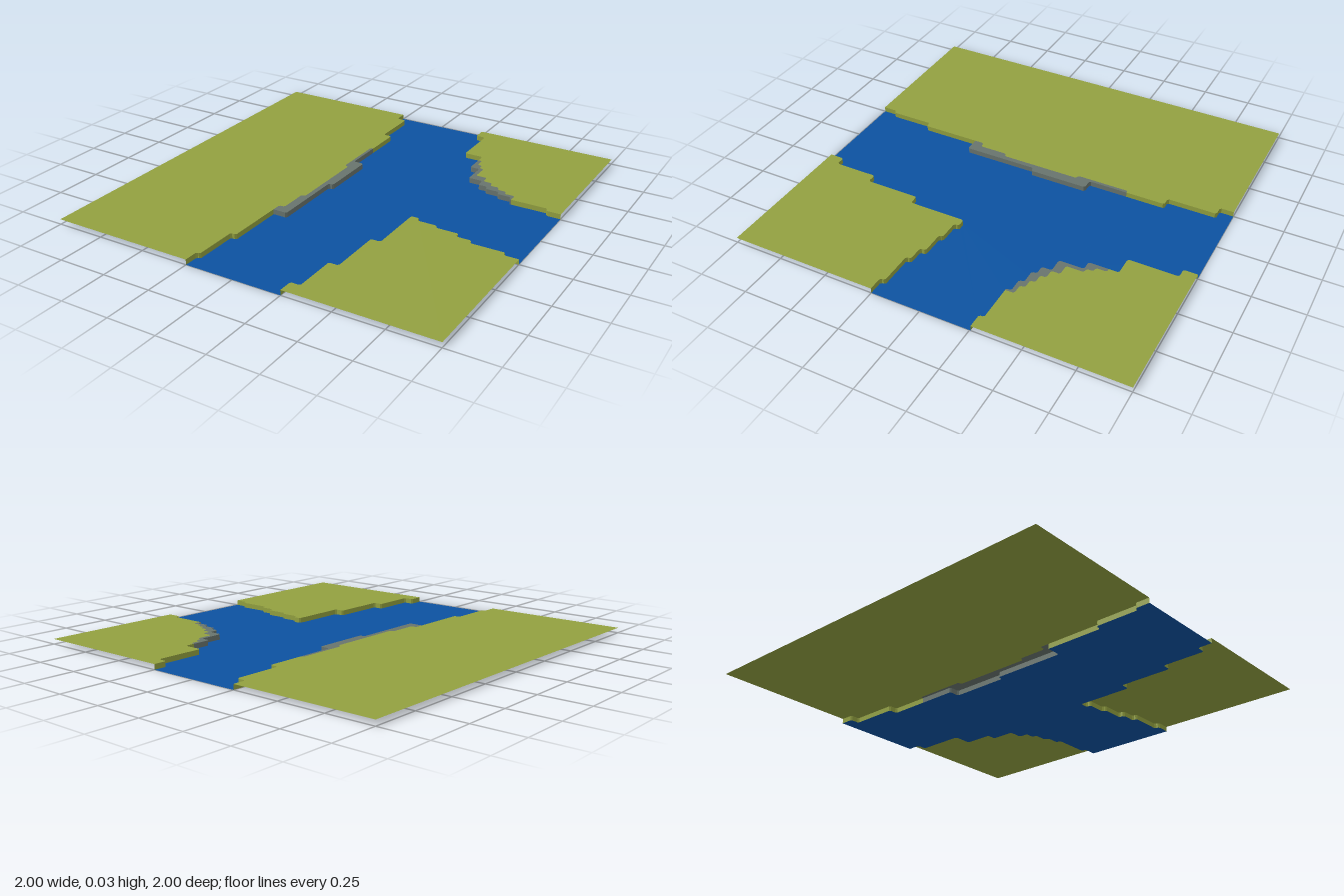
import * as THREE from 'three';

const HEIGHT = 0.026;
const material = (name, color) =>
  Object.assign(new THREE.MeshStandardMaterial({ color, side: THREE.DoubleSide }), { name });

// Stepped path in (x, z): the values alternate, next z, next x, next z...
function stairs(x, z, ...values) {
  const raw = [[x, z]];
  values.forEach((v, i) => {
    if (i % 2) x = v; else z = v;
    const last = raw[raw.length - 1];
    if (last[0] !== x || last[1] !== z) raw.push([x, z]);
  });
  // Clip every inner corner slightly
  const toward = (p, q) => {
    const length = Math.hypot(q[0] - p[0], q[1] - p[1]);
    const t = Math.min(0.008, length * 0.4) / length;
    return [p[0] + (q[0] - p[0]) * t, p[1] + (q[1] - p[1]) * t];
  };
  return raw.flatMap((p, i) =>
    i === 0 || i === raw.length - 1 ? [p] : [toward(p, raw[i - 1]), toward(p, raw[i + 1])]);
}

// Join paths that share end points
const join = (...paths) => paths.flatMap((p, i) => (i ? p.slice(1) : p));
const reversed = (path) => [...path].reverse();

export function createModel() {
  const group = new THREE.Group();
  const grass = material('grass', 0x92a040);
  const water = material('water', 0x0c52a0);
  const stone = material('stone', 0x68746d);

  const add = (name, geometry, mat) => {
    const mesh = new THREE.Mesh(geometry, mat);
    mesh.name = name;
    group.add(mesh);
  };

  // Flat horizontal sheet with the given outline
  const sheet = (name, outline, y, mat) => {
    const shape = new THREE.Shape(outline.map(([x, z]) => new THREE.Vector2(x, -z)));
    add(name, new THREE.ShapeGeometry(shape).rotateX(-Math.PI / 2).translate(0, y, 0), mat);
  };

  // Vertical bank wall along a path
  const wall = (name, path, mat) => {
    const positions = [];
    for (let i = 0; i < path.length - 1; i++) {
      const [ax, az] = path[i], [bx, bz] = path[i + 1];
      positions.push(ax, 0, az, ax, HEIGHT, az, bx, HEIGHT, bz);
      positions.push(ax, 0, az, bx, HEIGHT, bz, bx, 0, bz);
    }
    const geometry = new THREE.BufferGeometry();
    geometry.setAttribute('position', new THREE.Float32BufferAttribute(positions, 3));
    geometry.computeVertexNormals();
    add(name, geometry, mat);
  };

  // Each bank: grass before and after a rocky stretch, whose inland edge is "inner"
  const west = {
    before: stairs(-0.25, -1, -0.93, -0.2, -0.68, -0.155, -0.48),
    rock: stairs(-0.155, -0.48, -0.28, -0.1, 0.02, -0.125, 0.4, -0.2),
    inner: stairs(-0.155, -0.48, -0.48, -0.17, -0.21, -0.15, 0.2, -0.17, 0.35, -0.2, 0.4),
    after: stairs(-0.2, 0.4, 0.7, -0.23, 0.925, -0.25, 1),
    corners: [[-1, 1], [-1, -1]],
  };
  const northEast = {
    before: stairs(0.25, -1, -0.93, 0.3, -0.68, 0.4, -0.63),
    rock: stairs(0.4, -0.63, -0.53, 0.45, -0.405, 0.525, -0.355, 0.575, -0.33, 0.65, -0.305, 0.725, -0.28, 0.735),
    inner: stairs(0.4, -0.63, -0.63, 0.42, -0.575, 0.445, -0.54, 0.47, -0.45, 0.53, -0.405,
      0.58, -0.375, 0.63, -0.35, 0.68, -0.325, 0.735, -0.28),
    after: stairs(0.735, -0.28, -0.28, 0.925, -0.255, 1),
    corners: [[1, -1]],
  };

  for (const [name, b] of [['west', west], ['northEast', northEast]]) {
    sheet(`${name}Land`, [...join(b.before, b.inner, b.after), ...b.corners], HEIGHT, grass);
    sheet(`${name}RockLedge`, [...b.rock, ...reversed(b.inner).slice(1, -1)], HEIGHT, stone);
    wall(`${name}BankStart`, b.before, grass);
    wall(`${name}RockBank`, b.rock, stone);
    wall(`${name}BankEnd`, b.after, grass);
  }

  // South-east land is all grass
  const southEast = stairs(0.25, 1, 0.925, 0.3, 0.7, 0.35, 0.42, 0.4, 0.125, 0.445, 0.15,
    0.55, 0.17, 0.67, 0.2, 0.75, 0.225, 0.925, 0.25, 1);
  sheet('southEastLand', [...southEast, [1, 1]], HEIGHT, grass);
  wall('southEastBank', southEast, grass);

  // River and its side branch fill the space between the banks
  sheet('river', [
    ...join(west.before, west.rock, west.after),
    ...southEast,
    ...reversed(join(northEast.before, northEast.rock, northEast.after)),
  ], 0, water);

  return group;
}
